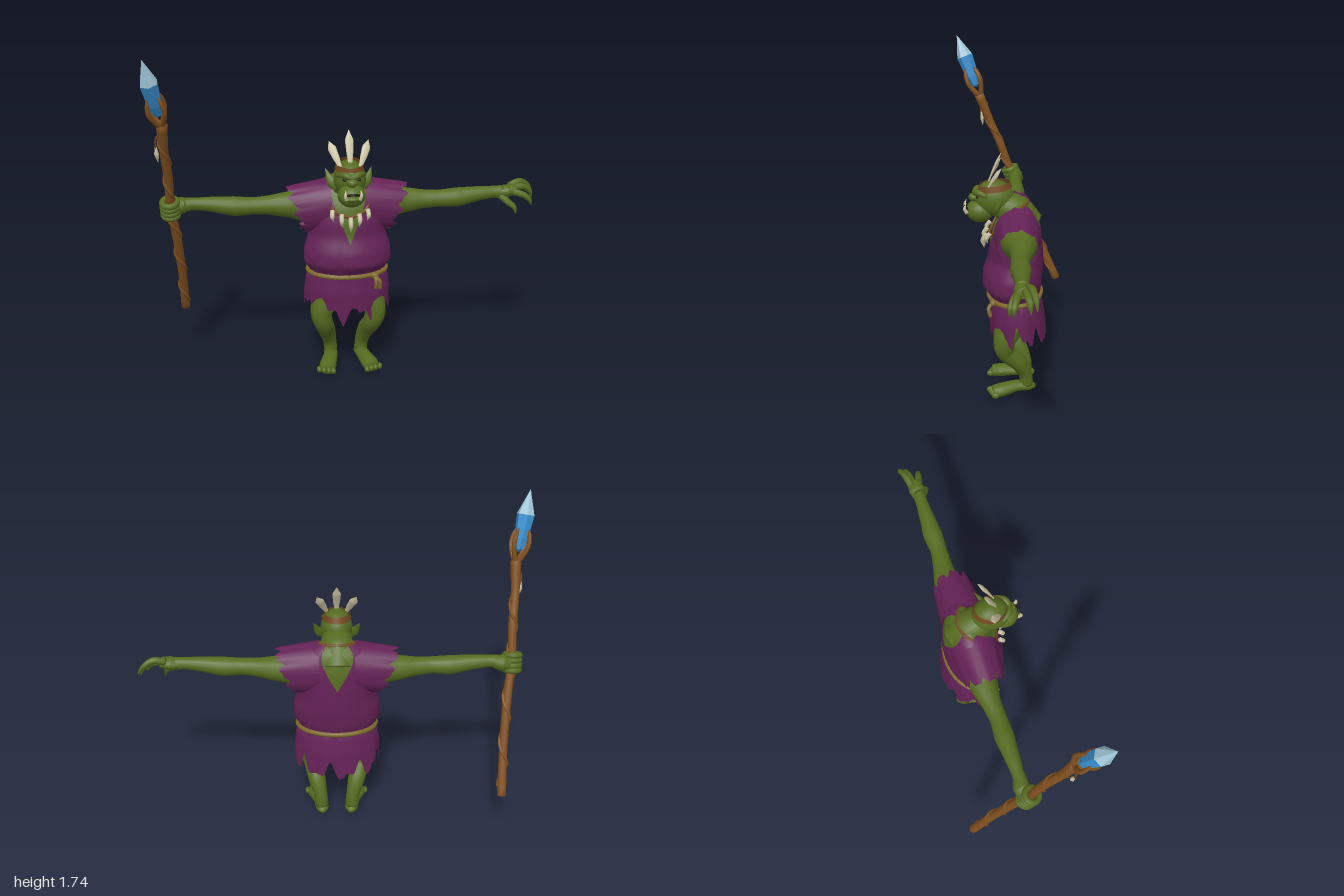
import * as THREE from 'three';
import { mergeVertices } from 'three/addons/utils/BufferGeometryUtils.js';
import { ParametricGeometry } from 'three/addons/geometries/ParametricGeometry.js';

const mat = (name, color, extra = {}) => {
  const m = new THREE.MeshStandardMaterial({ color, ...extra });
  m.name = name;
  return m;
};
const V = (p) => new THREE.Vector3(p[0], p[1], p[2]);
const { lerp, clamp } = THREE.MathUtils;

// Weld seams and recompute smooth normals
function smooth(geo) {
  geo.deleteAttribute('uv');
  geo.deleteAttribute('normal');
  const g = mergeVertices(geo, 1e-5);
  g.computeVertexNormals();
  return g;
}

// Capped tube through points with a radius at each point; squash scales the cross-section per axis
function limb(pts, radii, { seg = 28, sides = 12, squash = [1, 1, 1] } = {}) {
  const curve = new THREE.CatmullRomCurve3(pts.map(V));
  const geo = new THREE.TubeGeometry(curve, seg, 1, sides);
  const pos = geo.attributes.position, p = new THREE.Vector3(), sq = V(squash);
  for (let i = 0; i <= seg; i++) {
    const u = clamp((i - 1) / (seg - 2), 0, 1);
    const t = curve.getUtoTmapping(u) * (radii.length - 1);
    const k = Math.min(Math.floor(t), radii.length - 2);
    const r = i === 0 || i === seg ? 0 : lerp(radii[k], radii[k + 1], t - k);
    const from = curve.getPointAt(i / seg), to = curve.getPointAt(u);
    for (let j = 0; j <= sides; j++) {
      const n = i * (sides + 1) + j;
      p.fromBufferAttribute(pos, n).sub(from).multiply(sq).multiplyScalar(r).add(to);
      pos.setXYZ(n, p.x, p.y, p.z);
    }
  }
  return smooth(geo);
}

// Body cross-sections: height, half width, front z, back z
const SECTIONS = [
  [0.24, 0.225, 0.11, -0.19], [0.45, 0.225, 0.125, -0.17], [0.53, 0.215, 0.12, -0.155],
  [0.56, 0.197, 0.12, -0.145], [0.61, 0.228, 0.157, -0.155], [0.68, 0.226, 0.153, -0.16],
  [0.76, 0.2, 0.125, -0.16], [0.84, 0.205, 0.12, -0.158], [0.92, 0.2, 0.1, -0.15],
  [0.98, 0.19, 0.07, -0.135], [1.03, 0.14, 0.03, -0.11], [1.06, 0.07, 0, -0.07],
];
function bodyPoint(a, y, scale, out) {
  let i = 0;
  while (i < SECTIONS.length - 2 && y > SECTIONS[i + 1][0]) i++;
  const A = SECTIONS[i], B = SECTIONS[i + 1];
  const t = clamp((y - A[0]) / (B[0] - A[0]), 0, 1);
  const [rx, f, b] = [1, 2, 3].map((k) => lerp(A[k], B[k], t));
  const fold = y < 0.53 ? 1 + 0.1 * (0.53 - y) * Math.sin(11 * a) : 1;
  return out.set(Math.sin(a) * rx * scale * fold, y, (f + b) / 2 + Math.cos(a) * (f - b) / 2 * scale * fold);
}
const rag = (a) => 0.03 * Math.asin(Math.sin(9 * a)) + 0.02 * Math.asin(Math.sin(17 * a + 1));

export function createModel() {
  const skin = mat('green skin', 0x566b20), cloth = mat('purple cloth', 0x642256, { side: THREE.DoubleSide });
  const wood = mat('brown wood', 0x80501f), rope = mat('rope', 0x7d682c), leather = mat('leather', 0x70481f, { side: THREE.DoubleSide });
  const ivory = mat('ivory', 0xc9c2a2), blue = mat('crystal blue', 0x3a8fcf, { flatShading: true });
  const pale = mat('crystal tip', 0xa0c6d8, { flatShading: true }), dark = mat('dark', 0x231a12);

  const model = new THREE.Group();
  const troll = new THREE.Group();
  troll.name = 'troll';
  troll.position.x = -0.02;
  model.add(troll);
  const add = (name, geo, material, parent = troll) => {
    const m = new THREE.Mesh(geo, material);
    m.name = name;
    parent.add(m);
    return m;
  };
  const ball = (name, c, r, material) => {
    const m = add(name, new THREE.SphereGeometry(1, 24, 16), material);
    m.position.set(...c);
    m.scale.set(...r);
    return m;
  };

  // Torso and ragged tunic with a deep neckline front and back
  add('torso', smooth(new ParametricGeometry((u, v, p) =>
    bodyPoint(u * Math.PI * 2, lerp(0.42, 1.06, v), 0.965, p), 48, 32)), skin);
  add('tunic', smooth(new ParametricGeometry((u, v, p) => {
    const a = (u - 0.5) * Math.PI * 2, d = Math.abs(a);
    const top = Math.min(0.73 + 0.5 * d, 0.83 + 0.35 * (Math.PI - d), 1.05);
    const hem = 0.385 - 0.05 * Math.abs(Math.cos(a)) + rag(a);
    bodyPoint(a, lerp(hem, top, v), 1, p);
  }, 120, 48)), cloth);

  // Belt with a knot and two hanging ends
  const beltPts = [];
  for (let i = 0; i <= 24; i++) {
    const q = bodyPoint(i / 12 * Math.PI, 0.555, 1.03, new THREE.Vector3());
    beltPts.push([q.x, q.y - 0.05 * q.z, q.z]);
  }
  add('belt', limb(beltPts, [0.013, 0.013], { seg: 72, sides: 8 }), rope);
  ball('beltKnot', [0.13, 0.545, 0.1], [0.022, 0.018, 0.018], rope);
  for (const dx of [0, 0.02])
    add('beltEnd', limb([[0.13, 0.545, 0.105], [0.135 + dx, 0.52, 0.125], [0.135 + dx, 0.48, 0.115]], [0.01, 0.009, 0.011], { sides: 8 }), rope);

  // Head, face and neck
  add('neck', limb([[0, 0.92, -0.07], [0, 1, -0.01], [0, 1.05, 0.07]], [0.1, 0.095, 0.07]), skin);
  ball('head', [0, 1.075, 0.09], [0.082, 0.095, 0.1], skin);
  ball('jaw', [0, 1.008, 0.165], [0.07, 0.06, 0.072], skin);
  ball('lowerLip', [0, 1.005, 0.215], [0.046, 0.018, 0.032], skin);
  ball('nose', [0, 1.08, 0.196], [0.029, 0.022, 0.027], skin);
  add('brow', limb([[-0.07, 1.105, 0.13], [-0.035, 1.115, 0.178], [0, 1.105, 0.19], [0.035, 1.115, 0.178], [0.07, 1.105, 0.13]], [0.01, 0.017, 0.015, 0.017, 0.01]), skin);
  add('mouth', limb([[-0.055, 1.012, 0.2], [0, 1.032, 0.24], [0.055, 1.012, 0.2]], [0.004, 0.007, 0.004], { sides: 6 }), dark);

  // Headband and feathers
  const band = add('headband', new THREE.CylinderGeometry(0.066, 0.074, 0.032, 32, 1, true), leather);
  band.position.set(0, 1.14, 0.09);
  band.scale.z = 1.2;
  band.rotation.x = 0.12;
  for (const [x0, x1, top] of [[0, 0, 1.315], [0.045, 0.1, 1.26], [-0.045, -0.1, 1.26]])
    add('feather', limb([[x0, 1.13, 0.13], [lerp(x0, x1, 0.45), lerp(1.13, top, 0.45), 0.1], [lerp(x0, x1, 0.75), lerp(1.13, top, 0.75), 0.075], [x1, top, 0.055]],
      [0.007, 0.018, 0.022, 0.001], { squash: [1, 1, 0.2] }), ivory);

  // Necklace with fangs
  const half = [[0, 0.872, 0.122], [0.08, 0.905, 0.1], [0.115, 0.98, 0.045], [0.09, 1.045, -0.04], [0, 1.055, -0.08]];
  const loop = [...half, ...half.slice(0, 4).reverse().map(([x, y, z]) => [-x, y, z])];
  add('necklaceCord', limb(loop, [0.008, 0.008], { seg: 64, sides: 8 }), leather);
  for (const x of [-0.09, -0.045, 0, 0.045, 0.09]) {
    const y = 0.878 + 0.4 * Math.abs(x), len = 0.075 - 0.2 * Math.abs(x), z = 0.135 - 2.5 * x * x;
    add('necklaceFang', limb([[x, y, z], [x * 1.03, y - len * 0.5, z + 0.018], [x * 0.95, y - len, z + 0.01]], [0.012, 0.012, 0.001], { seg: 12, sides: 8 }), ivory);
  }

  // Paired parts
  for (const s of [1, -1]) {
    const side = s > 0 ? 'left' : 'right';
    const m = (pts) => pts.map(([x, y, z]) => [x * s, y, z]);
    ball(side + 'Eye', [0.034 * s, 1.09, 0.174], [0.012, 0.008, 0.01], dark);
    add(side + 'Tusk', limb(m([[0.034, 1.005, 0.232], [0.04, 1.03, 0.243], [0.037, 1.055, 0.235]]), [0.01, 0.008, 0.001], { seg: 10, sides: 8 }), ivory);
    add(side + 'Ear', limb(m([[0.055, 1.03, 0.09], [0.088, 1.055, 0.075], [0.118, 1.118, 0.045]]), [0.028, 0.028, 0.001], { squash: [1, 1, 0.4] }), skin);
    add(side + 'Arm', limb(m([[0.08, 0.9, -0.03], [0.2, 0.905, -0.035], [0.29, 0.905, -0.042], [0.4, 0.908, -0.035], [0.48, 0.91, -0.028],
      [0.58, 0.912, -0.03], [0.68, 0.925, -0.03], [0.77, 0.932, -0.03], [0.83, 0.932, -0.03]]),
    [0.1, 0.098, 0.07, 0.05, 0.044, 0.051, 0.04, 0.032, 0.034], { seg: 48, sides: 16 }), skin);

    // Sleeve, cut longer over the shoulder and frayed
    add(side + 'Sleeve', smooth(new ParametricGeometry((u, v, p) => {
      const a = u * Math.PI * 2, end = 0.26 + 0.045 * Math.cos(a) + 0.35 * rag(a);
      p.set(s * lerp(0.09, end, v), lerp(0.905, 0.885, v) + Math.cos(a) * lerp(0.14, 0.122, v), -0.025 + Math.sin(a) * lerp(0.12, 0.102, v));
    }, 64, 10)), cloth);

    // Bent leg and broad bare foot
    add(side + 'Leg', limb(m([[0.1, 0.5, -0.01], [0.12, 0.4, 0.02], [0.143, 0.32, 0.045], [0.13, 0.26, 0.035], [0.108, 0.19, -0.03],
      [0.088, 0.11, -0.068], [0.082, 0.045, -0.075]]), [0.09, 0.077, 0.056, 0.05, 0.047, 0.036, 0.036], { seg: 40, sides: 16 }), skin);
    add(side + 'Foot', limb(m([[0.078, 0.03, -0.122], [0.08, 0.036, -0.09], [0.09, 0.038, -0.02], [0.112, 0.026, 0.06], [0.12, 0.02, 0.105]]),
      [0.014, 0.036, 0.038, 0.046, 0.04], { squash: [1, 0.75, 1], sides: 16 }), skin);
    for (let i = 0; i < 4; i++)
      ball(side + 'Toe', [s * (0.09 + i * 0.024), 0.017, 0.118 - i * 0.009], [0.014, 0.017, 0.021], skin);
  }

  // Open left hand with curling fingers
  add('leftPalm', limb([[0.8, 0.932, -0.03], [0.85, 0.935, -0.032], [0.9, 0.942, -0.035]], [0.032, 0.044, 0.034], { squash: [1, 0.75, 1] }), skin);
  for (const f of [
    [[0.87, 0.955, -0.055], [0.93, 0.972, -0.07], [0.98, 0.945, -0.085], [1.008, 0.905, -0.09]],
    [[0.87, 0.945, -0.04], [0.945, 0.948, -0.05], [0.985, 0.92, -0.06], [0.998, 0.885, -0.062]],
    [[0.87, 0.935, -0.015], [0.93, 0.92, 0], [0.965, 0.895, 0.008], [0.975, 0.865, 0.01]],
    [[0.81, 0.92, -0.02], [0.85, 0.885, 0.01], [0.88, 0.86, 0.025], [0.89, 0.826, 0.028]],
  ]) add('leftFinger', limb(f, [0.02, 0.018, 0.014, 0.003], { seg: 18, sides: 8 }), skin);

  // Staff
  const staff = new THREE.Group();
  staff.name = 'staff';
  model.add(staff);
  const shaft = [[-0.88, 0.262, -0.285], [-0.885, 0.5, -0.185], [-0.9, 0.75, -0.085], [-0.918, 0.92, -0.015], [-0.918, 1.1, 0.05], [-0.928, 1.25, 0.115], [-0.928, 1.4, 0.175]];
  add('shaft', limb(shaft, [0.024, 0.022, 0.024, 0.021, 0.023, 0.022, 0.028], { seg: 40, sides: 9 }), wood, staff);
  const path = new THREE.CatmullRomCurve3(shaft.map(V)), vine = [];
  for (let i = 0; i <= 48; i++) {
    const q = path.getPointAt(0.04 + 0.92 * i / 48), a = i * 0.62;
    vine.push([q.x + 0.022 * Math.cos(a), q.y, q.z + 0.022 * Math.sin(a)]);
  }
  add('vine', limb(vine, [0.009, 0.008], { seg: 120, sides: 6 }), wood, staff);
  add('charmCord', limb([[-0.93, 1.36, 0.16], [-0.96, 1.33, 0.17], [-0.962, 1.28, 0.165]], [0.005, 0.005], { seg: 10, sides: 6 }), leather, staff);
  add('charm', limb([[-0.962, 1.29, 0.165], [-0.96, 1.25, 0.16], [-0.955, 1.21, 0.155]], [0.005, 0.012, 0.001], { seg: 12, sides: 6 }), ivory, staff);

  // Claw and crystal along the staff axis
  const up = new THREE.Vector3(0, 1, 0);
  const tip = new THREE.Group();
  tip.name = 'staffHead';
  tip.position.set(-0.928, 1.385, 0.168);
  tip.quaternion.setFromUnitVectors(up, new THREE.Vector3(-0.065, 0.345, 0.132).normalize());
  staff.add(tip);
  for (let i = 0; i < 4; i++) {
    const prong = add('prong', limb([[0, 0, 0], [0.03, 0.045, 0], [0.052, 0.1, 0], [0.047, 0.15, 0], [0.036, 0.18, 0]], [0.016, 0.013, 0.012, 0.01, 0.003], { sides: 7 }), wood, tip);
    prong.rotation.y = Math.PI / 4 + i * Math.PI / 2;
  }
  const crystal = (pts) => new THREE.LatheGeometry(pts.map(([r, y]) => new THREE.Vector2(r, y)), 6).toNonIndexed();
  add('crystalBody', crystal([[0, 0.06], [0.022, 0.075], [0.036, 0.13], [0.046, 0.25]]), blue, tip);
  add('crystalTip', crystal([[0.046, 0.25], [0, 0.378]]), pale, tip);

  // Right fist wrapped around the shaft
  add('rightPalm', limb([[-0.8, 0.932, -0.03], [-0.845, 0.925, -0.035], [-0.885, 0.918, -0.03]], [0.033, 0.044, 0.036]), skin);
  const fist = new THREE.Group();
  fist.name = 'rightFist';
  fist.position.set(-0.9, 0.917, -0.018);
  fist.quaternion.setFromUnitVectors(up, new THREE.Vector3(-0.03, 1, 0.4).normalize());
  troll.add(fist);
  for (let i = 0; i < 4; i++) {
    const finger = add('rightFinger', new THREE.TorusGeometry(0.037, 0.016, 10, 24).rotateX(Math.PI / 2), skin, fist);
    finger.position.y = (i - 1.5) * 0.026;
  }
  return model;
}
